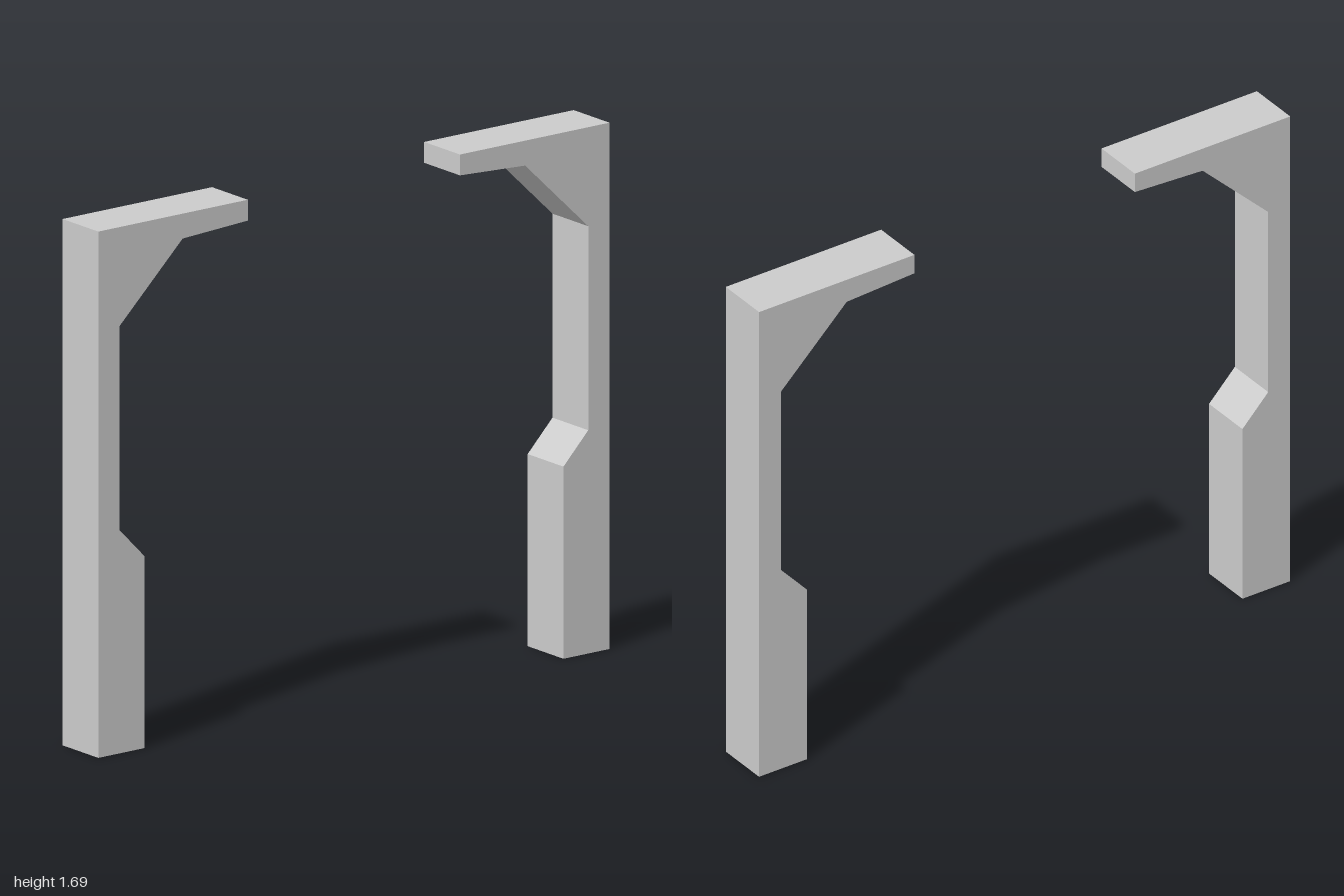
import * as THREE from 'three';

const DEPTH = 0.18;

// Outline of the left half: thick foot, slim post, braced corner, overhanging arm
const PROFILE = [
  [0.82, 0], [1, 0], [1, 1.69], [0.415, 1.69], [0.415, 1.623],
  [0.67, 1.61], [0.917, 1.372], [0.917, 0.717], [0.82, 0.617],
];

export function createModel() {
  const group = new THREE.Group();
  group.name = 'splitArchFrame';
  const material = new THREE.MeshStandardMaterial({ color: 0xcccccc, flatShading: true });

  const shape = new THREE.Shape(PROFILE.map(([x, y]) => new THREE.Vector2(x, y)));
  const geometry = new THREE.ExtrudeGeometry(shape, { depth: DEPTH, bevelEnabled: false });
  geometry.translate(0, 0, -DEPTH / 2);

  // The bracket is symmetric front to back, so a half turn mirrors it
  for (const [name, turn] of [['leftBracketPost', 0], ['rightBracketPost', Math.PI]]) {
    const post = new THREE.Mesh(geometry, material);
    post.name = name;
    post.rotation.y = turn;
    group.add(post);
  }
  return group;
}
